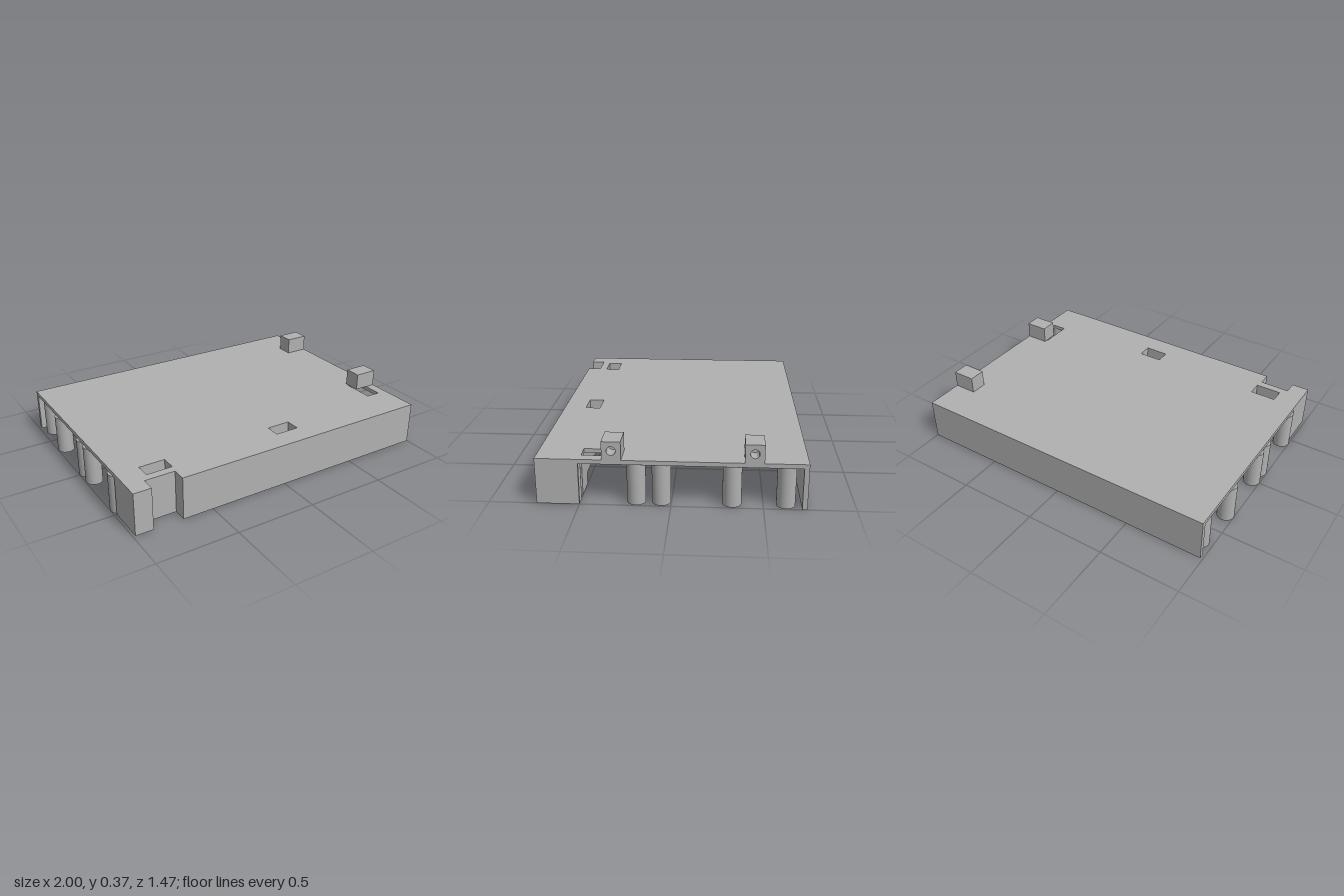
import * as THREE from 'three';
import { toCreasedNormals } from 'three/addons/utils/BufferGeometryUtils.js';

const grey = new THREE.MeshStandardMaterial({ color: 0xb0b0b0 });
grey.name = 'grey';

const vec = ([a, b]) => new THREE.Vector2(a, b);
const rect = (x0, x1, z0, z1) => [[x0, z0], [x1, z0], [x1, z1], [x0, z1]];

function part(parent, name, geometry) {
  const mesh = new THREE.Mesh(geometry, grey);
  mesh.name = name;
  parent.add(mesh);
  return mesh;
}

// Upright prism from a plan outline given as [x, z] points
function prism(outline, y0, y1, holes = []) {
  const shape = new THREE.Shape(outline.map(vec));
  holes.forEach(h => shape.holes.push(new THREE.Path(h.map(vec))));
  const g = new THREE.ExtrudeGeometry(shape, { depth: y1 - y0, bevelEnabled: false });
  return g.rotateX(Math.PI / 2).translate(0, y1, 0);
}

// Hollow screw post, open at the bottom
function postGeometry() {
  const R = 0.052, r = 0.022;
  const profile = [[0, 0.2], [r, 0.2], [r, 0], [R, 0], [R, 0.24], [0, 0.24]];
  return toCreasedNormals(new THREE.LatheGeometry(profile.map(vec), 32), 0.6);
}

// Lug with a blind bore facing +x
function addLug(parent, z) {
  const lug = new THREE.Group();
  lug.name = 'mountingLug';
  const s = 0.0525;
  const face = new THREE.Shape(rect(-s, s, -s, s).map(vec));
  face.holes.push(new THREE.Path().absarc(0, 0, 0.025, 0, Math.PI * 2));
  const front = new THREE.ExtrudeGeometry(face, { depth: 0.08, bevelEnabled: false, curveSegments: 24 });
  front.rotateY(Math.PI / 2).translate(0.92, 0, 0);
  part(lug, 'lugBoredEnd', toCreasedNormals(front, 0.6));
  part(lug, 'lugSolidEnd', new THREE.BoxGeometry(0.065, 2 * s, 2 * s)).position.x = 0.8875;
  lug.position.set(0, 0.3175, z);
  parent.add(lug);
}

export function createModel() {
  const model = new THREE.Group();
  model.name = 'tray';
  const L = -0.985, R = 1, F = 0.735, B = -0.735, beam = 0.5;

  // Front edge with its notch, running from right corner to left corner
  const frontEdge = [[R, F], [-0.69, F], [-0.69, 0.65], [-0.875, 0.65], [-0.875, F], [L, F]];
  const slots = [rect(-0.84, -0.68, 0.51, 0.6), rect(0.03, 0.18, 0.51, 0.6)];
  // Cut in the inner corner of the beam that clears the corner post
  const cornerCut = [[0.89, beam], [0.89, 0.605], [0.98, 0.605], [0.98, beam], [R, beam]];

  part(model, 'topPlate', prism([[L, B], [R, B], ...frontEdge], 0.24, 0.265,
    [...slots, rect(0.85, 0.94, 0.29, 0.49)]));

  part(model, 'backWall', prism(rect(L, R, B, -0.707), 0, 0.24));

  part(model, 'frontBeam', prism([[L, beam], ...cornerCut, ...frontEdge], 0.07, 0.24, slots));

  // Bottom of the beam, with two long recesses behind a thin front lip
  const recesses = [
    [-0.84, beam], [-0.84, 0.6], [-0.715, 0.6], [-0.715, 0.64], [-0.68, 0.64], [-0.68, 0.715],
    [-0.13, 0.715], [-0.13, beam],
    [0.03, beam], [0.03, 0.715], [0.74, 0.715], [0.74, beam],
  ];
  part(model, 'beamFoot', prism([[L, beam], ...recesses, ...cornerCut, ...frontEdge], 0, 0.07));

  // Screw posts along both sides
  const post = postGeometry();
  const posts = [
    [-0.948, 0.45], [-0.948, 0.1], [-0.948, 0], [-0.948, -0.355], [-0.925, -0.622],
    [0.942, 0.55], [0.942, 0.192], [0.942, 0.055], [0.942, -0.33], [0.942, -0.622],
  ];
  posts.forEach(([x, z]) => part(model, 'screwPost', post).position.set(x, 0, z));

  [0.318, -0.446].forEach(z => addLug(model, z));
  return model;
}
